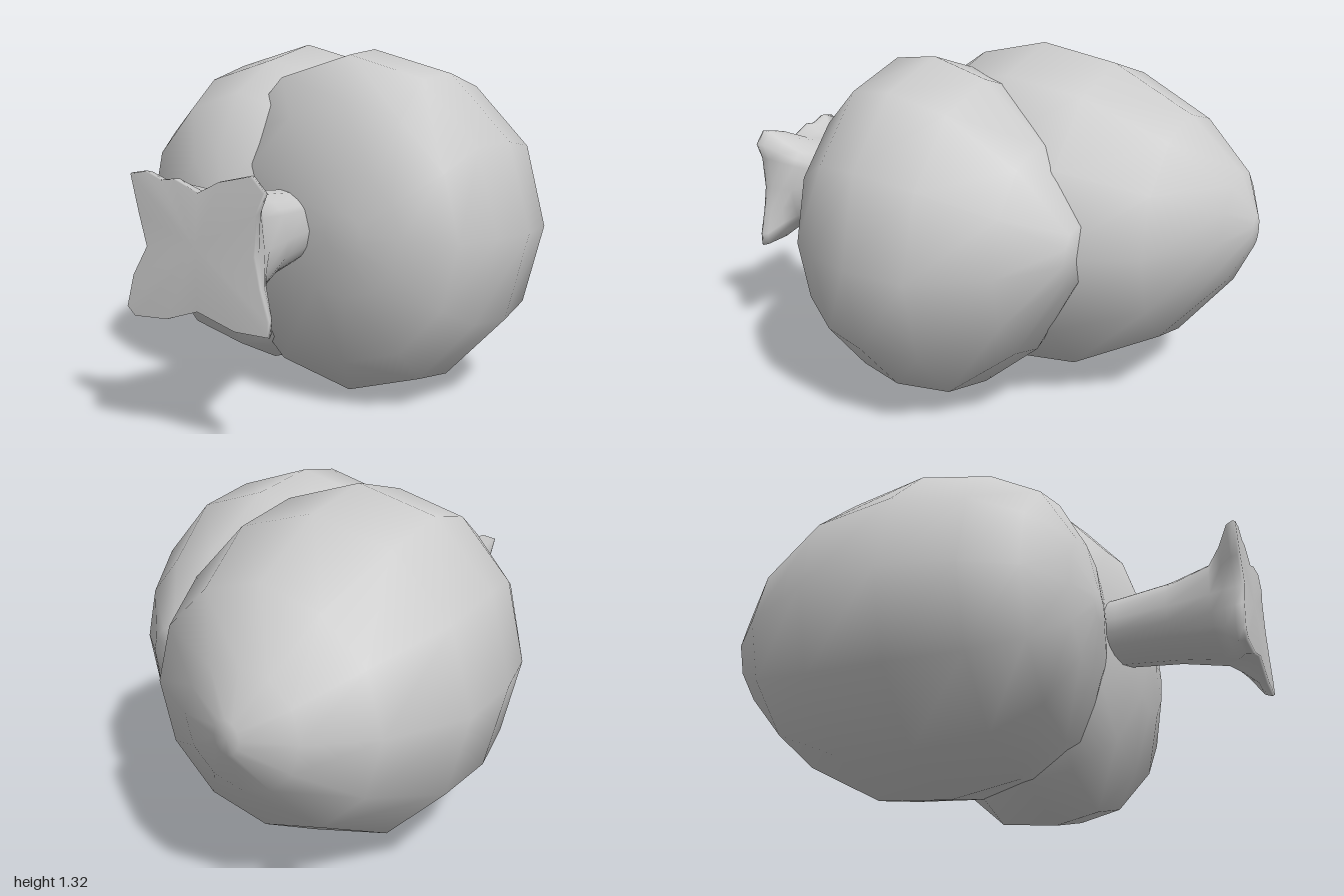
import * as THREE from 'three';

const grey = new THREE.MeshStandardMaterial({ color: 0xcccccc });

// Smooth skin over rings of points running along +z, each counter-clockwise seen from +z.
function loft(name, rings) {
  const n = rings[0].length, index = [];
  for (let i = 0; i < rings.length - 1; i++) {
    for (let j = 0; j < n; j++) {
      const a = i * n + j, b = i * n + (j + 1) % n;
      index.push(a, b, a + n, b, b + n, a + n);
    }
  }
  // closing points at both ends
  const points = rings.flat();
  const mid = r => r.reduce((s, p) => s.add(p), new THREE.Vector3()).divideScalar(n);
  const back = points.length, front = back + 1, last = (rings.length - 1) * n;
  points.push(mid(rings[0]), mid(rings[rings.length - 1]));
  for (let j = 0; j < n; j++) {
    const k = (j + 1) % n;
    index.push(back, k, j, front, last + j, last + k);
  }
  const geometry = new THREE.BufferGeometry().setFromPoints(points);
  geometry.setIndex(index);
  geometry.computeVertexNormals();
  const mesh = new THREE.Mesh(geometry, grey);
  mesh.name = name;
  return mesh;
}

// Twelve-sided oval ring filling the given x and y ranges.
function oval([z, x0, x1, y0, y1]) {
  return Array.from({ length: 12 }, (_, j) => {
    const a = j * Math.PI / 6;
    return new THREE.Vector3(
      (x0 + x1) / 2 + (x1 - x0) / 2 * Math.cos(a),
      (y0 + y1) / 2 + (y1 - y0) / 2 * Math.sin(a), z);
  });
}

export function createModel() {
  const group = new THREE.Group();
  group.name = 'fallenTree';

  // Two overlapping egg-shaped crowns: z, xMin, xMax, yMin, yMax
  group.add(loft('largeCrown', [
    [-1.0, -0.32, -0.22, 0.60, 0.72],
    [-0.93, -0.50, -0.04, 0.45, 0.88],
    [-0.74, -0.68, 0.25, 0.22, 1.09],
    [-0.43, -0.83, 0.41, 0.05, 1.26],
    [-0.13, -0.83, 0.42, 0.02, 1.32],
    [0.15, -0.76, 0.33, 0.06, 1.26],
    [0.34, -0.67, 0.16, 0.16, 1.14],
    [0.45, -0.49, -0.06, 0.38, 0.92],
    [0.49, -0.33, -0.22, 0.59, 0.71],
  ].map(oval)));

  group.add(loft('smallCrown', [
    [-0.54, 0.25, 0.46, 0.56, 0.78],
    [-0.37, -0.04, 0.65, 0.26, 1.04],
    [-0.12, -0.31, 0.81, 0.04, 1.24],
    [0.12, -0.40, 0.82, 0.0, 1.30],
    [0.30, -0.37, 0.76, 0.03, 1.28],
    [0.44, -0.19, 0.67, 0.18, 1.12],
    [0.51, 0.06, 0.49, 0.44, 0.89],
    [0.53, 0.21, 0.35, 0.60, 0.74],
  ].map(oval)));

  // Four-pointed outline of the root flare
  const star = [
    [0.21, 0.67], [0.22, 0.80], [0.25, 0.87], [0.205, 0.92], [0.09, 0.895],
    [0.01, 0.855], [-0.08, 0.895], [-0.13, 0.89], [-0.19, 0.915], [-0.25, 0.905],
    [-0.22, 0.78], [-0.19, 0.67], [-0.25, 0.57], [-0.28, 0.46], [-0.25, 0.43],
    [-0.12, 0.435], [0.0, 0.475], [0.14, 0.425], [0.26, 0.42], [0.26, 0.47], [0.23, 0.57],
  ];
  const cx = 0.01, cy = 0.67;

  // Trunk blends from a round stem to the star: z, radius, blend
  const trunkRings = [
    [0.30, 0.12, 0], [0.50, 0.135, 0], [0.70, 0.155, 0],
    [0.87, 0.18, 0.12], [0.92, 0.19, 0.45], [0.965, 0.2, 0.93], [0.99, 0.2, 1], [1.0, 0.2, 0.97],
  ].map(([z, r, t]) => star.map(([x, y]) => {
    const a = Math.atan2(y - cy, x - cx);
    return new THREE.Vector3(
      THREE.MathUtils.lerp(cx + r * Math.cos(a), x, t),
      THREE.MathUtils.lerp(cy + r * Math.sin(a), y, t), z);
  }));
  group.add(loft('trunk', trunkRings));

  return group;
}
